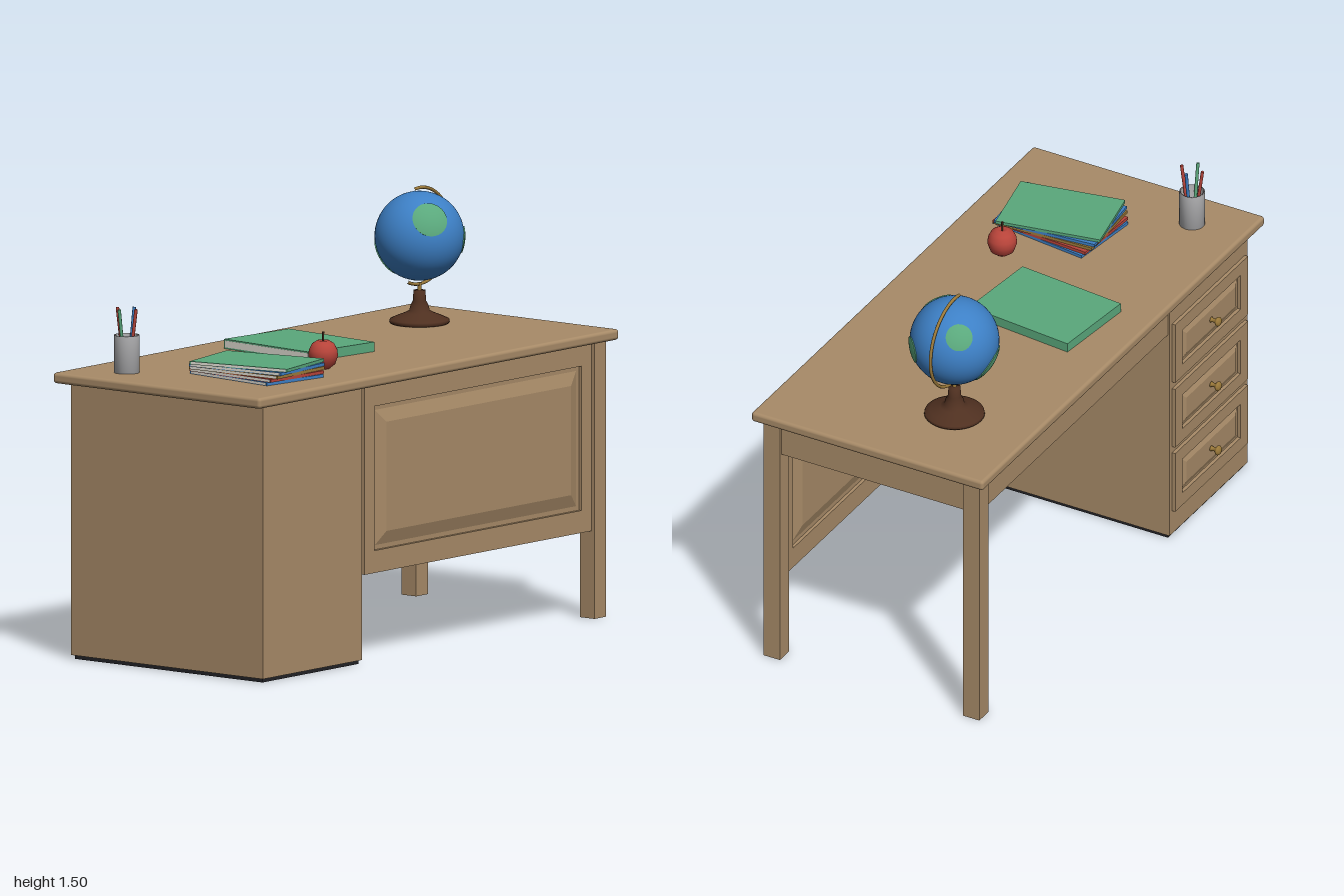
import * as THREE from 'three';
import { RoundedBoxGeometry } from 'three/addons/geometries/RoundedBoxGeometry.js';

const mat = (name, color) => new THREE.MeshStandardMaterial({ name, color });

export function createModel() {
  const wood = mat('wood', 0xa88b68);
  const black = mat('plinth black', 0x222226);
  const walnut = mat('dark walnut', 0x4f3020);
  const brass = mat('brass', 0x9c7a3a);
  const blue = mat('blue', 0x3d80c6);
  const green = mat('green', 0x5aa87c);
  const red = mat('red', 0xb8443a);
  const metal = mat('cup grey', 0xb0b0b2);
  const paper = mat('paper', 0xe4e0d6);

  const root = new THREE.Group();
  root.name = 'desk';

  const add = (parent, name, geo, material, x = 0, y = 0, z = 0) => {
    const m = new THREE.Mesh(geo, material);
    m.name = name;
    m.position.set(x, y, z);
    parent.add(m);
    return m;
  };
  const group = (name, x, y, z, parent = root) => {
    const g = new THREE.Group();
    g.name = name;
    g.position.set(x, y, z);
    parent.add(g);
    return g;
  };
  // box given by its limits on each axis
  const block = (name, material, x0, x1, y0, y1, z0, z1, parent = root) =>
    add(parent, name, new THREE.BoxGeometry(x1 - x0, y1 - y0, z1 - z0), material,
      (x0 + x1) / 2, (y0 + y1) / 2, (z0 + z1) / 2);
  const lathe = (pts, seg = 32) =>
    new THREE.LatheGeometry(pts.map(([r, y]) => new THREE.Vector2(r, y)), seg);

  // rectangular frame with an opening, back on z = 0
  const frame = (w, h, ow, oh, depth) => {
    const rect = (P, a, b) => {
      const p = new P();
      p.moveTo(-a / 2, -b / 2).lineTo(a / 2, -b / 2).lineTo(a / 2, b / 2).lineTo(-a / 2, b / 2).closePath();
      return p;
    };
    const s = rect(THREE.Shape, w, h);
    s.holes.push(rect(THREE.Path, ow, oh));
    return new THREE.ExtrudeGeometry(s, { depth, bevelEnabled: false });
  };
  // raised field with sloping borders, back on z = 0
  const raisedField = (w, h, depth, inset) => {
    const g = new THREE.BoxGeometry(w, h, depth).translate(0, 0, depth / 2);
    const p = g.attributes.position;
    for (let i = 0; i < p.count; i++) {
      if (p.getZ(i) < depth / 2) continue;
      p.setX(i, p.getX(i) - Math.sign(p.getX(i)) * inset);
      p.setY(i, p.getY(i) - Math.sign(p.getY(i)) * inset);
    }
    g.computeVertexNormals();
    return g;
  };

  // worktop
  add(root, 'worktop', new RoundedBoxGeometry(2, 0.038, 0.93, 3, 0.012), wood, 0, 0.996, 0.005);

  // pedestal on a dark plinth
  block('pedestal', wood, -0.945, -0.393, 0.014, 0.978, -0.42, 0.44);
  block('plinth', black, -0.935, -0.4, 0, 0.014, -0.41, 0.43);

  // drawers open toward the back
  const knob = lathe([[0, 0], [0.012, 0], [0.008, 0.006], [0.007, 0.018], [0.016, 0.026],
    [0.018, 0.032], [0.013, 0.038], [0, 0.04]], 20).rotateX(Math.PI / 2);
  [0.76, 0.493, 0.228].forEach((y) => {
    const d = group('drawer', -0.669, y, -0.42);
    d.rotation.y = Math.PI;
    add(d, 'drawerFrame', frame(0.515, 0.24, 0.41, 0.14, 0.013), wood);
    add(d, 'drawerField', raisedField(0.4, 0.13, 0.011, 0.025), wood);
    add(d, 'drawerKnob', knob, brass, 0, 0, 0.009);
  });

  // legs and rails
  block('frontLeg', wood, 0.897, 0.962, 0, 0.978, 0.375, 0.44);
  block('backLeg', wood, 0.897, 0.962, 0, 0.978, -0.425, -0.36);
  block('sideRail', wood, 0.917, 0.952, 0.845, 0.978, -0.36, 0.375);
  block('backRail', wood, -0.393, 0.897, 0.845, 0.978, -0.415, -0.38);

  // modesty panel with a raised field on both faces
  const panel = group('modestyPanel', 0.266, 0.644, 0.41);
  add(panel, 'panelCore', new THREE.BoxGeometry(1.262, 0.668, 0.012), wood);
  [0, Math.PI].forEach((turn) => {
    const side = group('panelFace', 0, 0, 0, panel);
    side.rotation.y = turn;
    add(side, 'panelFrame', frame(1.262, 0.668, 1.15, 0.51, 0.018), wood);
    add(side, 'panelField', raisedField(1.136, 0.496, 0.018, 0.055), wood, 0, 0, 0.003);
  });

  // books: cover boards around pages that show on the left-hand edge
  const book = (name, material, x, y, z, w, h, l, turn) => {
    const b = group(name, x, y, z);
    b.rotation.y = turn;
    add(b, 'cover', new THREE.BoxGeometry(w, h, l), material, 0, h / 2, 0);
    add(b, 'pageEdge', new THREE.BoxGeometry(0.002, h * 0.7, l * 0.97), paper, -w / 2, h / 2, 0);
  };
  book('largeBook', green, -0.068, 1.015, -0.105, 0.322, 0.034, 0.42, -0.1);
  [[blue, -0.12], [red, -0.06], [brass, 0.04], [blue, 0.09], [green, 0.19]].forEach(([m, turn], i) =>
    book('stackedBook', m, -0.602, 1.015 + i * 0.011, 0.136, 0.275, 0.011, 0.385, turn));

  // apple
  const apple = group('apple', -0.335, 1.015, 0.218);
  add(apple, 'appleBody', lathe([[0, 0.004], [0.022, 0], [0.042, 0.016], [0.052, 0.045], [0.05, 0.066],
    [0.039, 0.088], [0.02, 0.1], [0.008, 0.098], [0, 0.092]]), red);
  add(apple, 'appleStem', new THREE.CylinderGeometry(0.004, 0.003, 0.04, 8), walnut, 0, 0.11, 0);

  // pencil cup
  const cup = group('pencilCup', -0.832, 1.015, -0.262);
  add(cup, 'cupBody', lathe([[0, 0], [0.045, 0], [0.045, 0.132], [0.039, 0.132], [0.039, 0.01], [0, 0.01]]), metal);
  [blue, red, green, red].forEach((m, i) => {
    const holder = group('pencilHolder', 0, 0, 0, cup);
    holder.rotation.y = i * Math.PI / 2;
    const p = add(holder, 'pencil', new THREE.CylinderGeometry(0.006, 0.006, 0.212, 8), m, 0.027, 0.121, 0);
    p.rotation.z = -0.14;
  });

  // globe
  const R = 0.157;
  const globe = group('globe', 0.663, 1.324, -0.156);
  add(globe, 'ball', new THREE.SphereGeometry(R, 48, 32), blue);
  [[-0.49, 0.51, 0.71, 0.4], [0.69, -0.1, 0.71, 0.3], [0.65, 0.57, -0.49, 0.3], [-0.23, -0.53, -0.8, 0.48]]
    .forEach(([x, y, z, spread]) => {
      const land = add(globe, 'landPatch',
        new THREE.SphereGeometry(R * 1.022, 28, 8, 0, Math.PI * 2, 0, spread), green);
      land.quaternion.setFromUnitVectors(new THREE.Vector3(0, 1, 0), new THREE.Vector3(x, y, z).normalize());
      // rim closing the patch against the ball
      const rim = add(land, 'landRim', new THREE.CylinderGeometry(
        R * 1.022 * Math.sin(spread), R * 0.99 * Math.sin(spread), R * 0.032 * Math.cos(spread), 28, 1, true), green);
      rim.position.y = R * 1.006 * Math.cos(spread);
    });
  const arc = add(globe, 'meridianArc',
    new THREE.TorusGeometry(0.17, 0.006, 8, 48, THREE.MathUtils.degToRad(215)), brass);
  arc.rotation.z = THREE.MathUtils.degToRad(-114);
  add(root, 'globeStand', lathe([[0, 0], [0.1, 0], [0.106, 0.006], [0.104, 0.015], [0.085, 0.024],
    [0.05, 0.038], [0.036, 0.046], [0.031, 0.065], [0.023, 0.08], [0.021, 0.117], [0, 0.118]], 36),
    walnut, 0.663, 1.015, -0.156);
  add(root, 'globePin', new THREE.CylinderGeometry(0.007, 0.007, 0.03, 10), brass, 0.663, 1.145, -0.156);

  return root;
}
